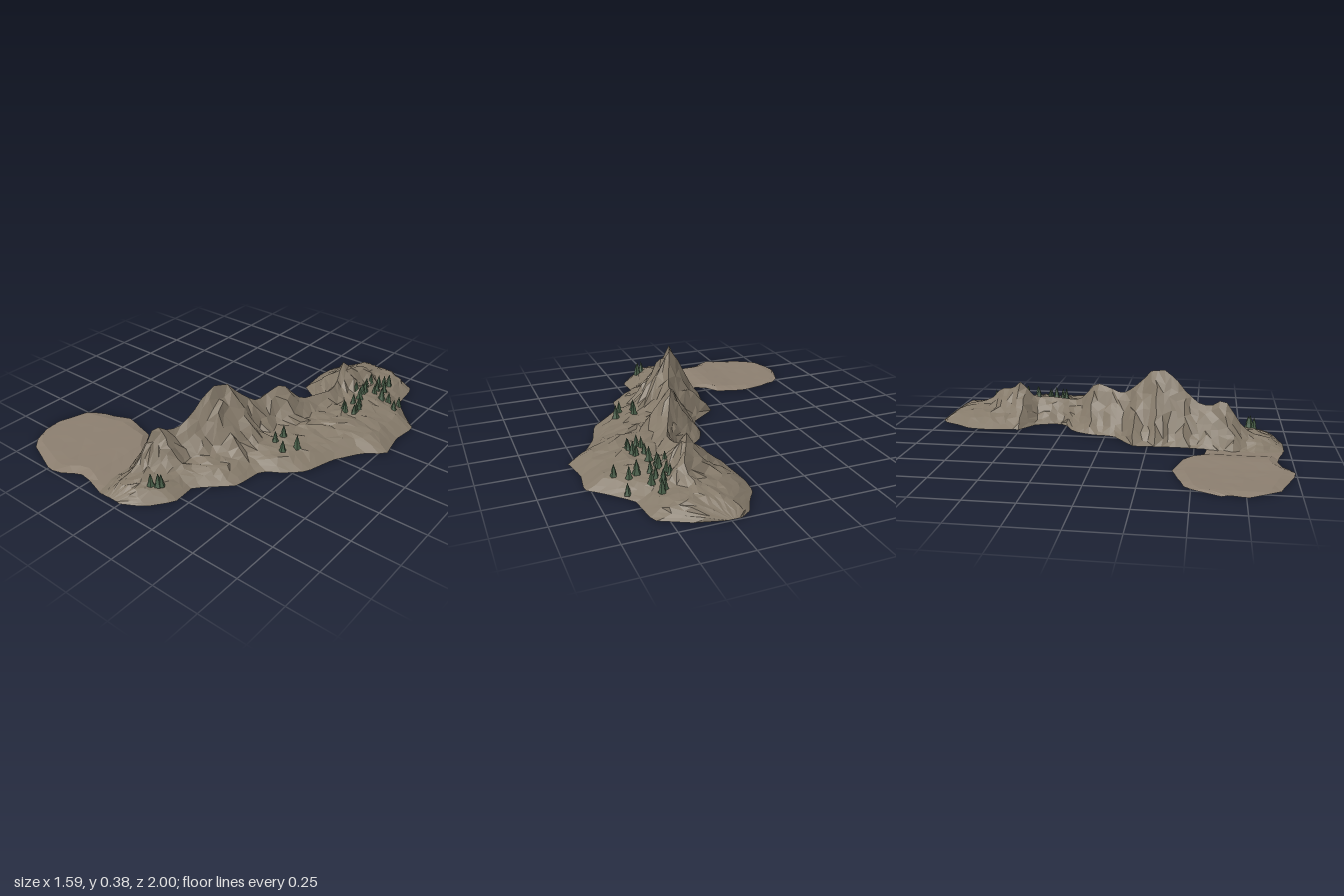
import * as THREE from 'three';

// Outline and crest stations, read along z
const WEST = [[-1, 0.2], [-0.97, 0.15], [-0.87, 0.1], [-0.8, 0.05], [-0.69, 0.04], [-0.49, 0.06], [-0.45, 0.16],
  [-0.34, 0.2], [-0.26, 0.2], [-0.19, 0.07], [-0.08, 0.02], [0.05, 0.01], [0.17, -0.15], [0.4, -0.14],
  [0.57, -0.15], [0.65, -0.18], [0.85, -0.18], [0.97, -0.14]];
const EAST = [[-1, 0.27], [-0.98, 0.38], [-0.88, 0.57], [-0.69, 0.59], [-0.56, 0.71], [-0.5, 0.78], [-0.35, 0.76],
  [-0.19, 0.79], [-0.12, 0.69], [0.03, 0.6], [0.2, 0.55], [0.28, 0.47], [0.34, 0.37], [0.51, 0.35],
  [0.66, 0.19], [0.79, 0.2], [0.91, 0.11], [0.97, 0]];
const CREST_X = [[-1, 0.24], [-0.71, 0.36], [-0.54, 0.28], [-0.37, 0.32], [-0.19, 0.25], [-0.05, 0.18], [0.1, 0.14],
  [0.3, 0.06], [0.5, 0], [0.65, -0.06], [0.77, -0.07], [0.97, -0.07]];
const CREST_Y = [[-1, 0.01], [-0.9, 0.07], [-0.8, 0.09], [-0.73, 0.12], [-0.68, 0.18], [-0.6, 0.185], [-0.54, 0.24],
  [-0.46, 0.14], [-0.2, 0.145], [-0.15, 0.17], [-0.1, 0.245], [-0.05, 0.265], [0.03, 0.24], [0.08, 0.22],
  [0.12, 0.24], [0.2, 0.31], [0.25, 0.37], [0.33, 0.385], [0.4, 0.33], [0.45, 0.27], [0.53, 0.21], [0.6, 0.22],
  [0.65, 0.265], [0.75, 0.12], [0.8, 0.08], [0.9, 0.06], [0.97, 0.01]];
// Flat ground outline, read along x
const FLAT_BACK = [[-0.8, 0.64], [-0.74, 0.48], [-0.5, 0.4], [-0.28, 0.46], [-0.26, 0.55], [-0.12, 0.57]];
const FLAT_FRONT = [[-0.8, 0.76], [-0.73, 0.9], [-0.5, 0.99], [-0.43, 1], [-0.39, 0.95], [-0.3, 0.92], [-0.12, 0.97]];
// Tree positions as x, z
const TREES = [[0.48, -0.75], [0.46, -0.73], [0.45, -0.68], [0.5, -0.66], [0.41, -0.66], [0.47, -0.63], [0.41, -0.61],
  [0.48, -0.58], [0.54, -0.56], [0.58, -0.57], [0.61, -0.64], [0.64, -0.52], [0.39, -0.53], [0.43, -0.53],
  [0.43, -0.56], [0.45, -0.47], [0.45, -0.4], [0.49, -0.4], [0.5, -0.37], [0.51, -0.33], [0.44, -0.32],
  [0.46, -0.3], [0.51, -0.31], [0.34, 0.11], [0.44, 0.13], [0.33, 0.17], [0.4, 0.2], [0.07, 0.82], [0.1, 0.8], [0.11, 0.79]];

const { lerp, clamp } = THREE.MathUtils;

// Linear interpolation through a station list
function at(stations, t) {
  let i = 1;
  while (i < stations.length - 1 && stations[i][0] < t) i++;
  const [a, b] = [stations[i - 1], stations[i]];
  return lerp(a[1], b[1], clamp((t - a[0]) / (b[0] - a[0]), 0, 1));
}

// Repeatable value from -1 to 1 for a pair of numbers
function jitter(a, b) {
  const s = Math.sin(a * 127.1 + b * 311.7) * 43758.5453;
  return (s - Math.floor(s)) * 2 - 1;
}

// Height: a steep crest rising from a low shelf that drops at the shore
function landHeight(x, z) {
  const west = at(WEST, z), east = at(EAST, z), crest = at(CREST_X, z), top = at(CREST_Y, z);
  const shore = Math.max(0, Math.min(x - west, east - x, (z + 1) * 1.5, (0.98 - z) * 1.2));
  const toe = z > 0.55 && x < crest ? 0.3 : 1;
  const shelf = 0.005 + toe * (0.055 * Math.min(1, shore / 0.09) + 0.03 * clamp((shore - 0.09) / 0.15, 0, 1));
  const spread = x < crest ? Math.min(crest - west, 0.26) : 0.1 + 0.48 * top;
  const spur = 1 + 0.16 * Math.sin(z * 47) * (x < crest ? 1 : -1);
  const u = Math.abs(x - crest) / Math.max(0.03, spread * spur);
  const flank = top * Math.pow(Math.max(0, 1 - u), 1.15);
  return Math.max(Math.min(shelf, top), Math.min(flank, 0.005 + shore * 5));
}

// Faceted open surface from a grid of points, rows toward +z and columns toward +x
function surface(name, rows, cols, point, color) {
  const pos = [], index = [];
  for (let i = 0; i <= rows; i++) for (let j = 0; j <= cols; j++) pos.push(...point(i, j));
  for (let i = 0; i < rows; i++) for (let j = 0; j < cols; j++) {
    const a = i * (cols + 1) + j, b = a + cols + 1;
    if (jitter(i, j) > 0) index.push(a, b, a + 1, a + 1, b, b + 1);
    else index.push(a, b, b + 1, a, b + 1, a + 1);
  }
  const geo = new THREE.BufferGeometry();
  geo.setAttribute('position', new THREE.Float32BufferAttribute(pos, 3));
  geo.setIndex(index);
  geo.computeVertexNormals();
  const mesh = new THREE.Mesh(geo, new THREE.MeshStandardMaterial({ color, flatShading: true, side: THREE.DoubleSide }));
  mesh.name = name;
  return mesh;
}

export function createModel() {
  const model = new THREE.Group();
  model.name = 'mountainRidge';

  // Ridge: every row runs from the west shore over the crest to the east shore
  const ROWS = 52, W = 7, E = 11;
  model.add(surface('ridge', ROWS, W + E, (i, j) => {
    const inner = i > 0 && i < ROWS && j > 0 && j < W + E;
    let z = lerp(-1, 0.97, i / ROWS);
    if (inner && j !== W) z += 0.011 * jitter(i, j + 40);
    const crest = at(CREST_X, z);
    const k = j + (inner && j !== W ? 0.25 * jitter(i + 9, j) : 0);
    const x = j <= W ? lerp(at(WEST, z), crest, k / W)
      : lerp(crest, at(EAST, z), Math.pow((k - W) / E, 1.1));
    const rough = inner && j !== W ? 1 + 0.09 * jitter(i + 3, j + 7) : 1;
    return [x, landHeight(x, z) * rough, z];
  }, 0x857a6a));

  // Low flat ground joined to the foot of the ridge
  const N = 10, M = 14;
  model.add(surface('flatGround', N, M, (i, j) => {
    const x = lerp(-0.8, -0.12, j / M);
    const z = lerp(at(FLAT_BACK, x), at(FLAT_FRONT, x), i / N);
    const edge = i === 0 || i === N || j === 0;
    const swell = 0.01 * Math.max(0, 1 - Math.abs(x + 0.33) / 0.12);
    const y = edge ? 0.004 + 0.004 * jitter(i, j) : 0.013 + swell + 0.001 * jitter(i, j);
    return [x, x > -0.24 ? Math.min(y, 0.006) : y, z];
  }, 0x8c7f70));

  // Conifers: two stacked five-sided cones
  const green = new THREE.MeshStandardMaterial({ color: 0x465c46, flatShading: true });
  const lower = new THREE.ConeGeometry(0.021, 0.045, 5).translate(0, 0.0275, 0);
  const upper = new THREE.ConeGeometry(0.014, 0.045, 5).translate(0, 0.0525, 0);
  const trees = new THREE.Group();
  trees.name = 'trees';
  TREES.forEach(([x, z], n) => {
    const tree = new THREE.Group();
    tree.name = 'tree';
    tree.add(new THREE.Mesh(lower, green), new THREE.Mesh(upper, green));
    tree.children[0].name = 'lowerBranches';
    tree.children[1].name = 'upperBranches';
    tree.position.set(x, landHeight(x, z) - 0.008, z);
    tree.rotation.y = n * 1.7;
    tree.scale.setScalar(1 + 0.15 * jitter(n, 5));
    trees.add(tree);
  });
  model.add(trees);
  return model;
}
